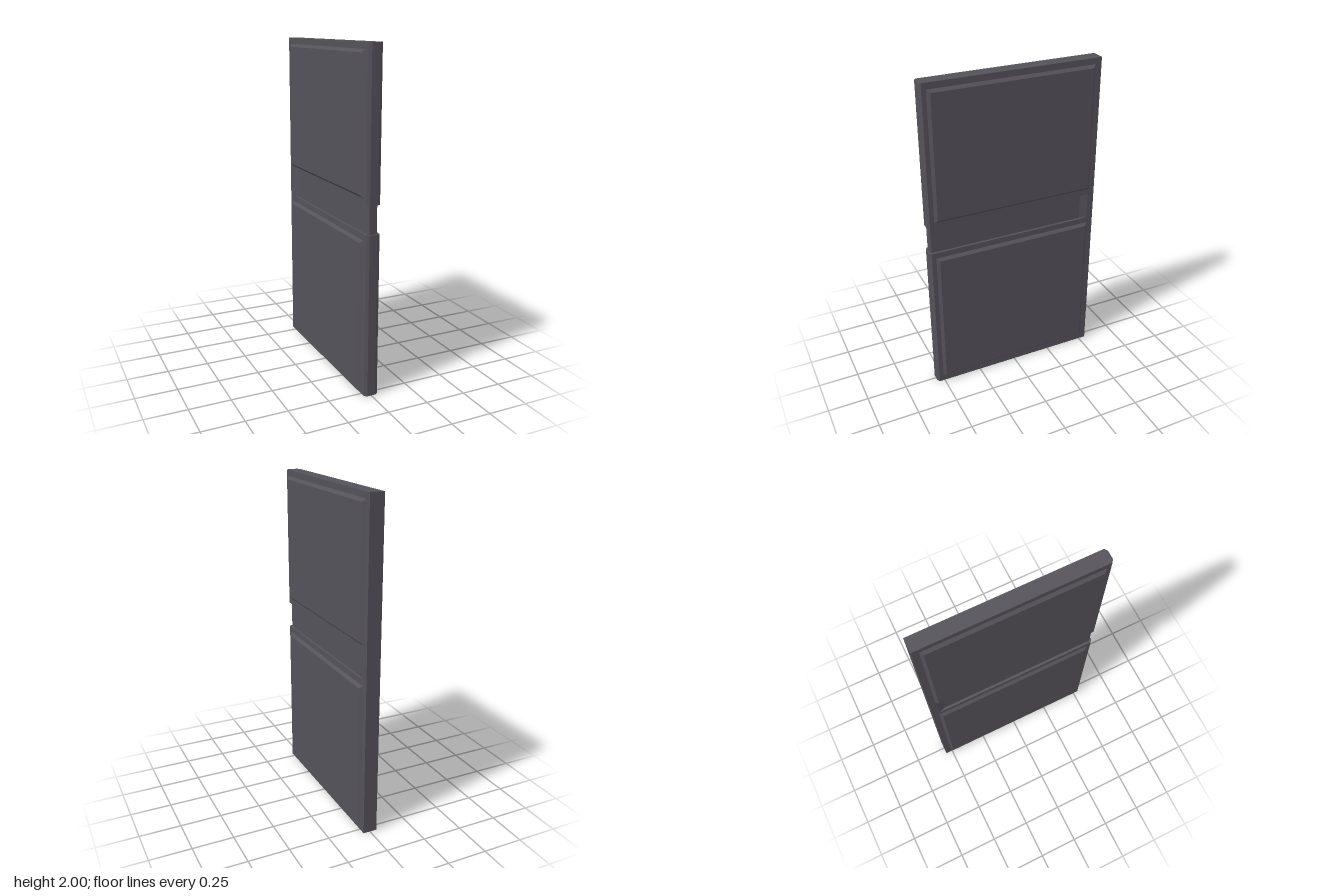
import * as THREE from 'three';

const HALF_X = 0.043, HALF_Z = 0.546;

// Horizontal slice of the slab: half outline as [x, z], mirrored in x, raised from y0 to y1
function slice(half, y0, y1) {
  const outline = [...half, ...half.map(([x, z]) => [-x, z]).reverse()];
  const shape = new THREE.Shape(outline.map(([x, z]) => new THREE.Vector2(x, -z)));
  const geo = new THREE.ExtrudeGeometry(shape, { depth: y1 - y0, bevelEnabled: false });
  geo.rotateX(-Math.PI / 2);
  geo.translate(0, y0, 0);
  return geo;
}

// Raised panel on the +x face with bevelled edges
function raisedPanel(y0, y1) {
  const inner = 0.038, outer = 0.059, bevel = 0.017;
  const h = y1 - y0, w = 1.015;
  const geo = new THREE.BoxGeometry(outer - inner, h, w);
  const p = geo.attributes.position;
  const slope = bevel * (outer - inner) / (outer - HALF_X);
  for (let i = 0; i < p.count; i++) {
    const s = p.getX(i) > 0 ? -bevel : slope - bevel;
    p.setY(i, p.getY(i) + Math.sign(p.getY(i)) * s);
    p.setZ(i, p.getZ(i) + Math.sign(p.getZ(i)) * s);
  }
  geo.computeVertexNormals();
  geo.translate((inner + outer) / 2, (y0 + y1) / 2, 0);
  return geo;
}

export function createModel() {
  const model = new THREE.Group();
  model.name = 'door';
  const paint = new THREE.MeshStandardMaterial({ color: 0x55525a });
  paint.name = 'dark grey';

  const add = (name, geo) => {
    const mesh = new THREE.Mesh(geo, paint);
    mesh.name = name;
    model.add(mesh);
    return mesh;
  };

  // Slab with a chamfered leading edge
  const full = [[HALF_X, -HALF_Z], [HALF_X, 0.534], [0.025, HALF_Z]];
  // Middle rail, recessed on both faces and the leading edge, ramping out near the back
  const recessed = [[HALF_X, -HALF_Z], [HALF_X, -0.505], [0.028, -0.46], [0.028, 0.53], [0.022, 0.536]];
  add('lowerSlab', slice(full, 0, 0.97));
  add('middleRail', slice(recessed, 0.97, 1.135));
  add('upperSlab', slice(full, 1.135, 2));

  // Raised panels on both faces
  for (const [name, y0, y1] of [['lowerPanel', 0.042, 0.934], ['upperPanel', 1.172, 1.963]]) {
    const geo = raisedPanel(y0, y1);
    add(name + 'Left', geo);
    add(name + 'Right', geo).rotation.y = Math.PI;
  }
  return model;
}
